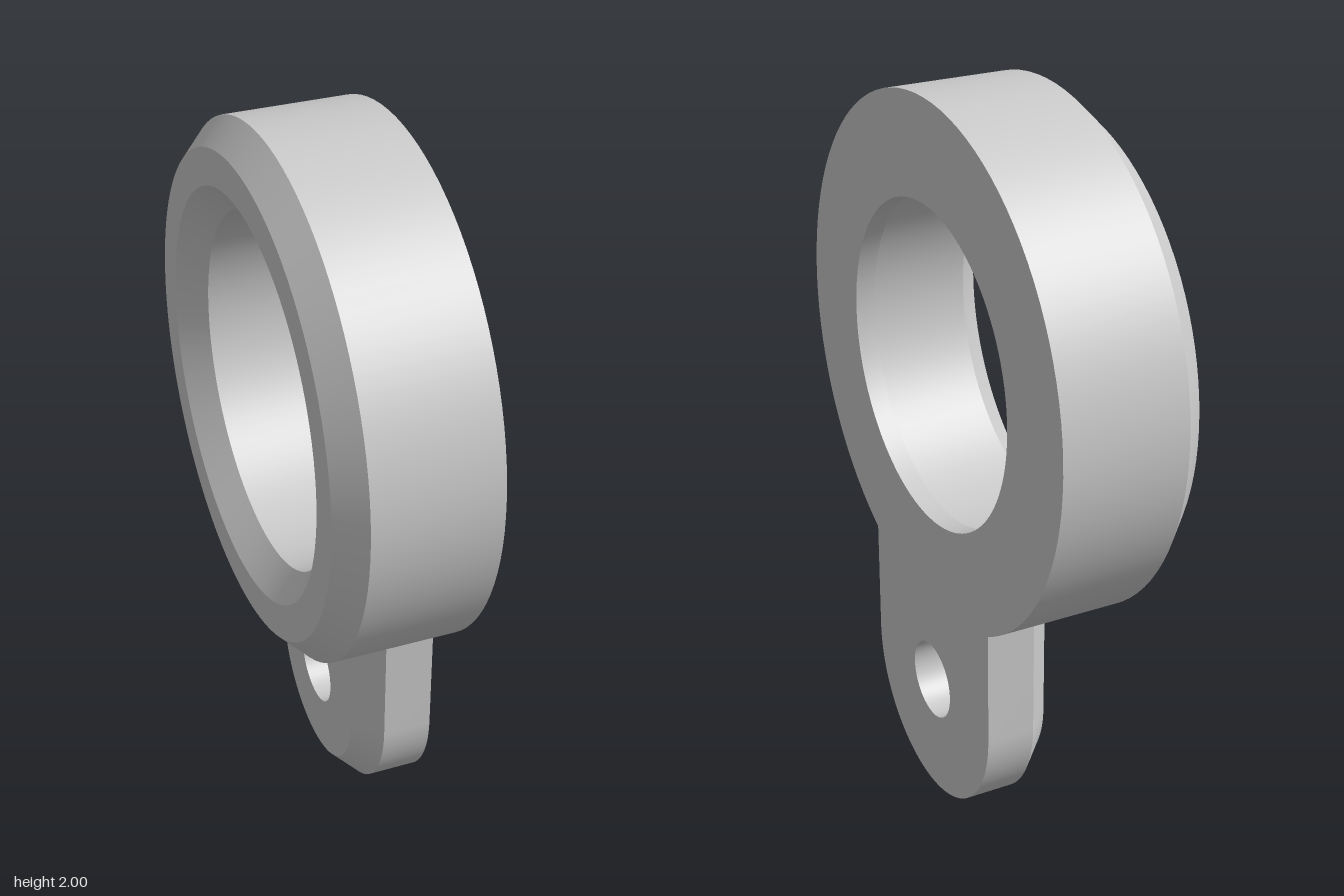
import * as THREE from 'three';
import { toCreasedNormals } from 'three/addons/utils/BufferGeometryUtils.js';

const RING_Y = 1.288, RING_R = 0.712;     // ring centre height and outer radius
const TAB_R = 0.337, CHAMFER = 0.07;      // tab half width, shared chamfer size
const X0 = -0.208, X1 = 0.205;            // thickness range of the ring

const material = new THREE.MeshStandardMaterial({ color: 0xcccccc });

function addMesh(group, name, geometry) {
  const mesh = new THREE.Mesh(toCreasedNormals(geometry, 0.5), material);
  mesh.name = name;
  group.add(mesh);
}

// Height of the ring's underside (very slightly sunk in) at sideways offset z
const ringUnderside = (z) => RING_Y - Math.sqrt((RING_R - 0.004) ** 2 - z * z);

// Ring: chamfered outside and bore mouth on one side, a thin lip on the other
function ringGeometry() {
  const profile = [
    [0.545, X0], [RING_R - CHAMFER, X0], [RING_R, X0 + CHAMFER], [RING_R, X1],
    [0.439, X1], [0.439, X1 - 0.055], [0.472, X1 - 0.055],
    [0.472, X0 + CHAMFER], [0.545, X0],
  ].map(([r, x]) => new THREE.Vector2(r, x));
  const geometry = new THREE.LatheGeometry(profile, 96);
  geometry.rotateZ(-Math.PI / 2);
  geometry.translate(0, RING_Y, 0);
  return geometry;
}

// Tab: rounded plate with a hole, its top edge following the ring
function tabGeometry() {
  const shape = new THREE.Shape();
  shape.moveTo(-TAB_R, TAB_R);
  shape.absarc(0, TAB_R, TAB_R, Math.PI, 2 * Math.PI, false);
  for (let i = 0; i <= 16; i++) {
    const z = TAB_R * (1 - i / 8);
    shape.lineTo(z, ringUnderside(z));
  }
  shape.closePath();
  const hole = new THREE.Path();
  hole.absarc(0, TAB_R + 0.003, 0.11, 0, 2 * Math.PI, true);
  shape.holes.push(hole);

  const geometry = new THREE.ExtrudeGeometry(shape, {
    depth: 2, steps: 2, bevelEnabled: false, curveSegments: 32,
  });
  // Layers 0, 1, 2 become the inset face, the chamfer edge and the flat back
  const layers = [0, CHAMFER, X1];
  const inset = (TAB_R - CHAMFER) / TAB_R;
  const p = geometry.attributes.position;
  for (let i = 0; i < p.count; i++) {
    let s = p.getX(i), y = p.getY(i);
    const layer = Math.round(p.getZ(i));
    if (layer === 0 && Math.hypot(s, y - TAB_R) > 0.2) {
      s *= inset;
      if (y > 0.5) y = ringUnderside(s);
      else if (y < TAB_R) y = TAB_R + (y - TAB_R) * inset;
    }
    p.setXYZ(i, s, y, layers[layer]);
  }
  geometry.rotateY(Math.PI / 2);
  return geometry;
}

export function createModel() {
  const group = new THREE.Group();
  group.name = 'ringWithMountingTab';
  addMesh(group, 'ring', ringGeometry());
  addMesh(group, 'mountingTab', tabGeometry());
  return group;
}
